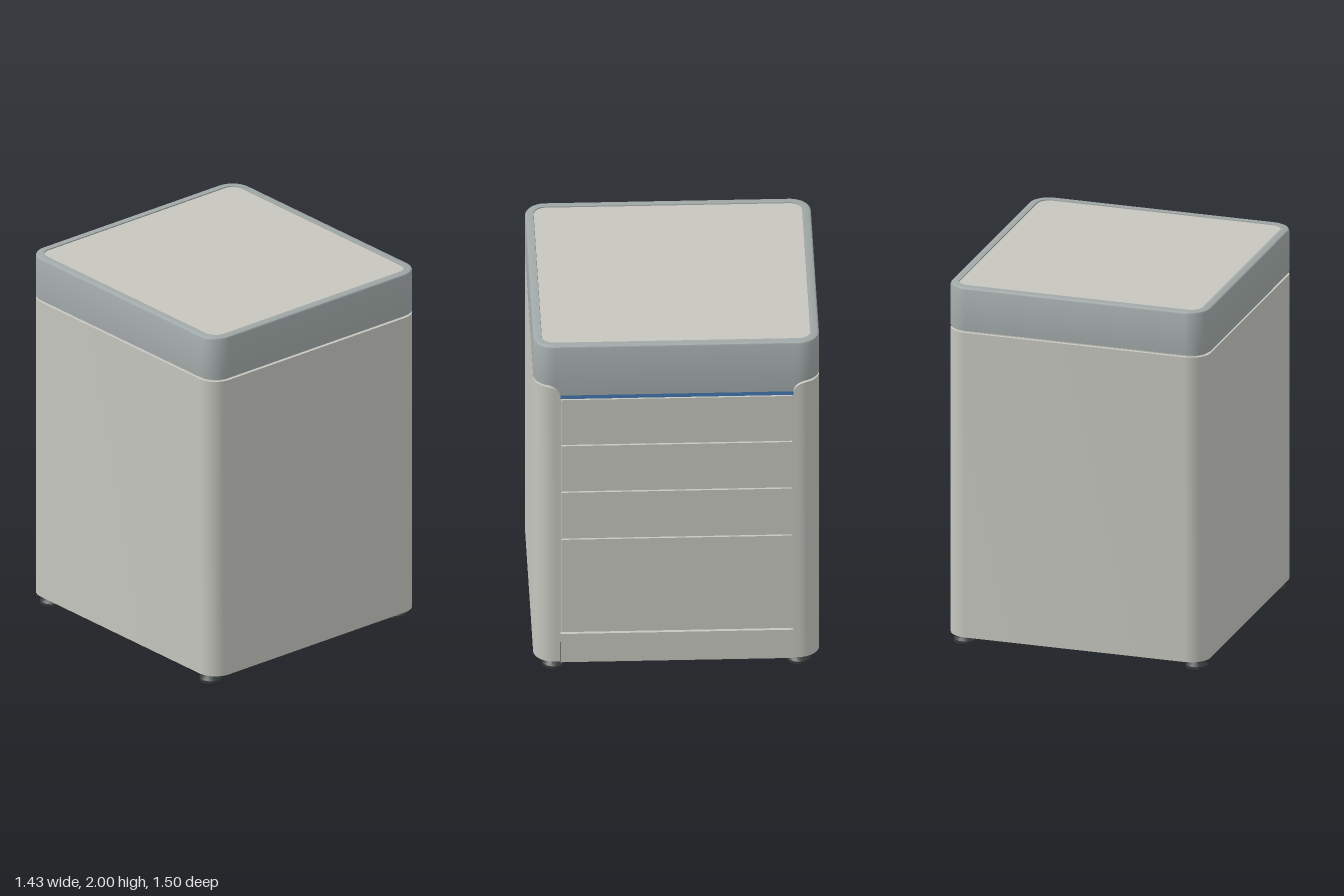
import * as THREE from 'three';
import { toCreasedNormals } from 'three/addons/utils/BufferGeometryUtils.js';

const CX = -0.004, HX = 0.714, HZ = 0.748, R = 0.11; // footprint
const OPEN = 0.61; // half width of the drawer opening on the +x side

const mat = (color) => new THREE.MeshStandardMaterial({ color });
const shellMat = mat(0xc6c6bf), lidMat = mat(0xa0a8a7), blueMat = mat(0x4478b0);
const footMat = mat(0x343a3a), steelMat = mat(0xb4b8ba);

// Rounded footprint, starting and ending at the edges of the drawer opening
function footprint() {
  const pts = [];
  const lead = [0, 0.002, 0.008, 0.018].map((d) => OPEN + d);
  lead.forEach((z) => pts.push({ x: HX, z, nx: 1, nz: 0 }));
  const corners = [[1, 1], [-1, 1], [-1, -1], [1, -1]], N = 14;
  corners.forEach(([sx, sz], q) => {
    for (let i = 0; i <= N; i++) {
      const a = (q + i / N) * Math.PI / 2, nx = Math.cos(a), nz = Math.sin(a);
      pts.push({ x: sx * (HX - R) + R * nx, z: sz * (HZ - R) + R * nz, nx, nz });
    }
  });
  lead.reverse().forEach((z) => pts.push({ x: HX, z: -z, nx: 1, nz: 0 }));
  return pts;
}

// Height of the seam between shell and lid: dips in a quarter round at the opening
function seam(p) {
  if (p.x < 0.3) return 1.75;
  const t = THREE.MathUtils.clamp((Math.abs(p.z) - OPEN) / 0.07, 0, 1);
  return 1.688 + 0.062 * Math.sqrt(1 - (1 - t) ** 2);
}

// Sweep a profile of [inset, height] pairs along the footprint
function sweep(profile, closed) {
  const rings = footprint().map((p) =>
    profile(p).map(([d, y]) => [CX + p.x - p.nx * d, y, p.z - p.nz * d]));
  const pos = [];
  const count = closed ? rings.length : rings.length - 1;
  for (let i = 0; i < count; i++) {
    const a = rings[i], b = rings[(i + 1) % rings.length];
    for (let k = 0; k < a.length - 1; k++) {
      pos.push(...a[k], ...a[k + 1], ...b[k + 1], ...a[k], ...b[k + 1], ...b[k]);
    }
  }
  const geo = new THREE.BufferGeometry();
  geo.setAttribute('position', new THREE.Float32BufferAttribute(pos, 3));
  return toCreasedNormals(geo, 0.6);
}

// Flat slab with the footprint inset by d
function slab(d, y0, y1) {
  const w = HX - d, h = HZ - d, r = R - d, s = new THREE.Shape();
  s.absarc(w - r, h - r, r, 0, Math.PI / 2);
  s.absarc(r - w, h - r, r, Math.PI / 2, Math.PI);
  s.absarc(r - w, r - h, r, Math.PI, Math.PI * 1.5);
  s.absarc(w - r, r - h, r, Math.PI * 1.5, Math.PI * 2);
  const geo = new THREE.ExtrudeGeometry(s, { depth: y1 - y0, bevelEnabled: false, curveSegments: 14 });
  geo.rotateX(-Math.PI / 2).translate(CX, y0, 0);
  return toCreasedNormals(geo, 0.6);
}

export function createModel() {
  const model = new THREE.Group();
  const add = (name, geo, material, parent = model) => {
    const mesh = new THREE.Mesh(geo, material);
    mesh.name = name;
    parent.add(mesh);
    return mesh;
  };
  const panel = (name, x0, x1, y0, y1, halfZ, material) =>
    add(name, new THREE.BoxGeometry(x1 - x0, y1 - y0, halfZ * 2), material)
      .position.set((x0 + x1) / 2, (y0 + y1) / 2, 0);

  // Thin shell wrapped round three sides and the corners of the opening
  const shell = shellMat.clone();
  shell.side = THREE.DoubleSide;
  add('bodyShell', sweep((p) =>
    [[0.02, 0.06], [0, 0.06], [0, seam(p)], [0.02, seam(p)], [0.02, 0.06]], false), shell);

  // Inner carcass: recessed underside and backing behind the gaps
  add('carcass', slab(0.018, 0.17, 1.78), shellMat);

  // Lid with softened upper edge and skirt dipping over the drawers
  add('lid', sweep((p) => {
    const y = seam(p) + 0.012;
    return [[0.05, y], [0, y], [0, 1.988], [0.004, 1.996], [0.012, 2],
      [0.044, 2], [0.047, 1.985]];
  }, true), lidMat);
  add('topPanel', slab(0.046, 1.94, 1.995), shellMat);

  // Blue strip, drawers and plinth on the +x side
  panel('accentStrip', 0.66, 0.71, 1.678, 1.7, 0.609, blueMat);
  const joints = [1.674, 1.39, 1.103, 0.813, 0.236];
  for (let i = 0; i < 4; i++) {
    panel(`drawerFront${i + 1}`, 0.66, 0.708, joints[i + 1] + 0.004, joints[i] - 0.004, 0.604, shellMat);
  }
  panel('plinth', 0.694, 0.717, 0.06, 0.234, 0.609, shellMat);

  // Levelling feet on threaded stems
  const pad = [[0, 0], [0.056, 0], [0.06, 0.005], [0.06, 0.02], [0.052, 0.027],
    [0.036, 0.04], [0.034, 0.056], [0, 0.056]].map(([x, y]) => new THREE.Vector2(x, y));
  const padGeo = toCreasedNormals(new THREE.LatheGeometry(pad, 28), 0.5);
  const stemGeo = new THREE.CylinderGeometry(0.017, 0.017, 0.13, 16).translate(0, 0.11, 0);
  const flangeGeo = new THREE.CylinderGeometry(0.045, 0.045, 0.012, 24).translate(0, 0.165, 0);
  for (const sx of [-1, 1]) for (const sz of [-1, 1]) {
    const foot = new THREE.Group();
    foot.name = `${sz > 0 ? 'front' : 'back'}${sx > 0 ? 'Left' : 'Right'}Foot`;
    foot.position.set(CX + sx * 0.637, 0, sz * 0.642);
    add('footPad', padGeo, footMat, foot);
    add('footStem', stemGeo, steelMat, foot);
    add('footFlange', flangeGeo, footMat, foot);
    model.add(foot);
  }
  return model;
}
